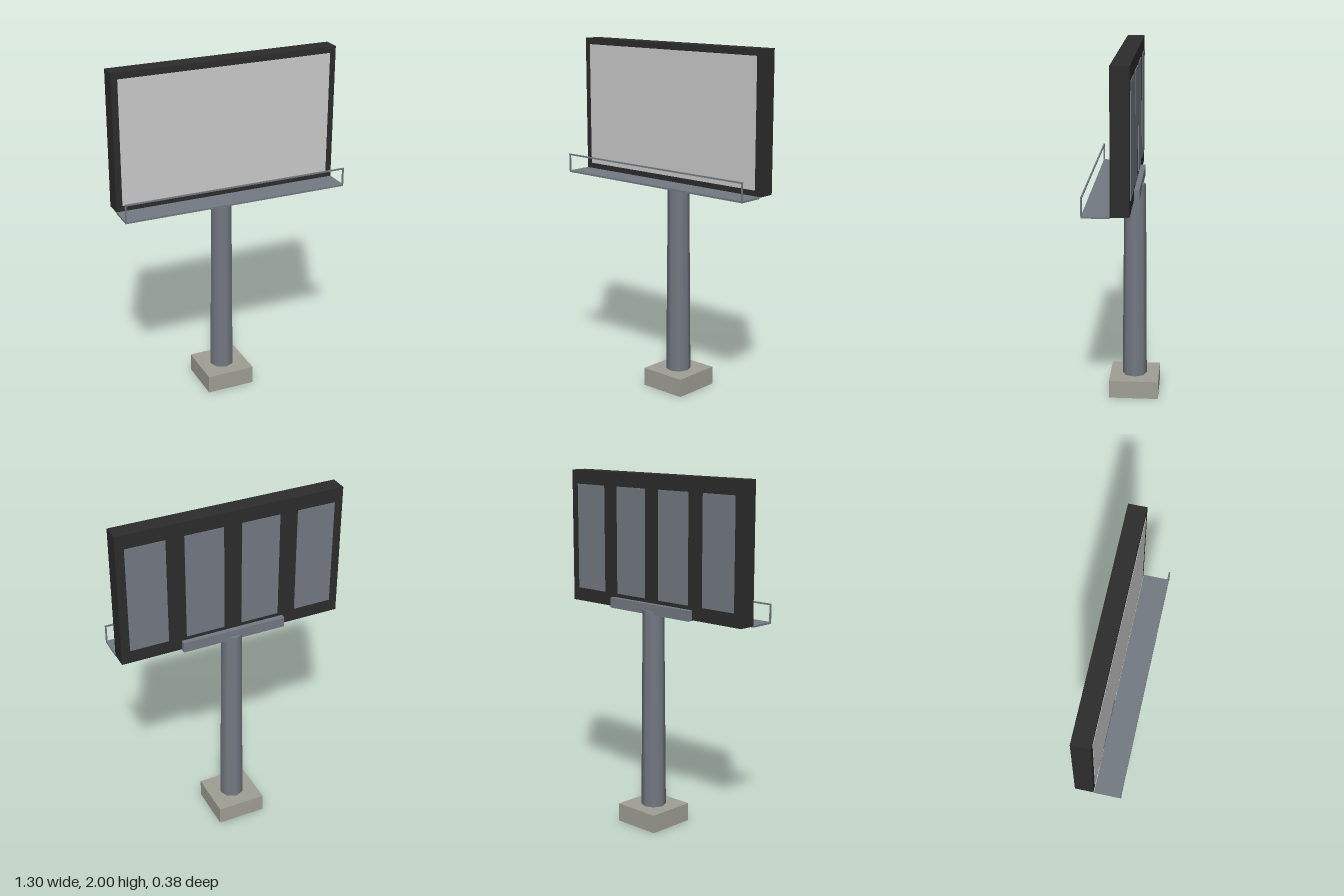
import * as THREE from 'three';

const mat = (name, color) => {
  const m = new THREE.MeshStandardMaterial({ color });
  m.name = name;
  return m;
};

export function createModel() {
  const steel = mat('steel grey', 0x747a83);
  const dark = mat('dark frame', 0x2c2c2c);
  const concrete = mat('concrete', 0xa09f95);
  const white = mat('poster pale grey', 0xcacaca);

  const group = new THREE.Group();
  group.name = 'billboard';

  // Box given by its extents along each axis
  const box = (name, material, [x0, x1], [y0, y1], [z0, z1]) => {
    const mesh = new THREE.Mesh(new THREE.BoxGeometry(x1 - x0, y1 - y0, z1 - z0), material);
    mesh.position.set((x0 + x1) / 2, (y0 + y1) / 2, (z0 + z1) / 2);
    mesh.name = name;
    group.add(mesh);
  };

  // Footing and tapered eight-sided pole
  box('footing', concrete, [-0.142, 0.142], [0, 0.105], [-0.19, 0.094]);
  const pole = new THREE.Mesh(new THREE.CylinderGeometry(0.061, 0.071, 1.145, 8), steel);
  pole.position.set(0, 0.6775, -0.047);
  pole.name = 'pole';
  group.add(pole);

  // Display cabinet, poster face and support beam
  box('cabinet', dark, [-0.65, 0.65], [1.233, 2], [-0.06, 0.04]);
  box('posterFace', white, [-0.615, 0.615], [1.266, 1.965], [0.036, 0.042]);
  box('supportBeam', steel, [-0.304, 0.304], [1.229, 1.288], [-0.089, -0.01]);

  // Four panels on the back
  for (const x of [-0.49, -0.163, 0.163, 0.49]) {
    box('backPanel', steel, [x - 0.111, x + 0.111], [1.31, 1.92], [-0.064, -0.058]);
  }

  // Service walkway with a thin guard rail
  box('walkway', steel, [-0.65, 0.65], [1.226, 1.236], [0.043, 0.188]);
  box('guardRail', steel, [-0.65, 0.65], [1.327, 1.335], [0.182, 0.19]);
  for (const s of [-1, 1]) {
    box('railPost', steel, [s * 0.646 - 0.004, s * 0.646 + 0.004], [1.236, 1.327], [0.182, 0.19]);
  }

  return group;
}
